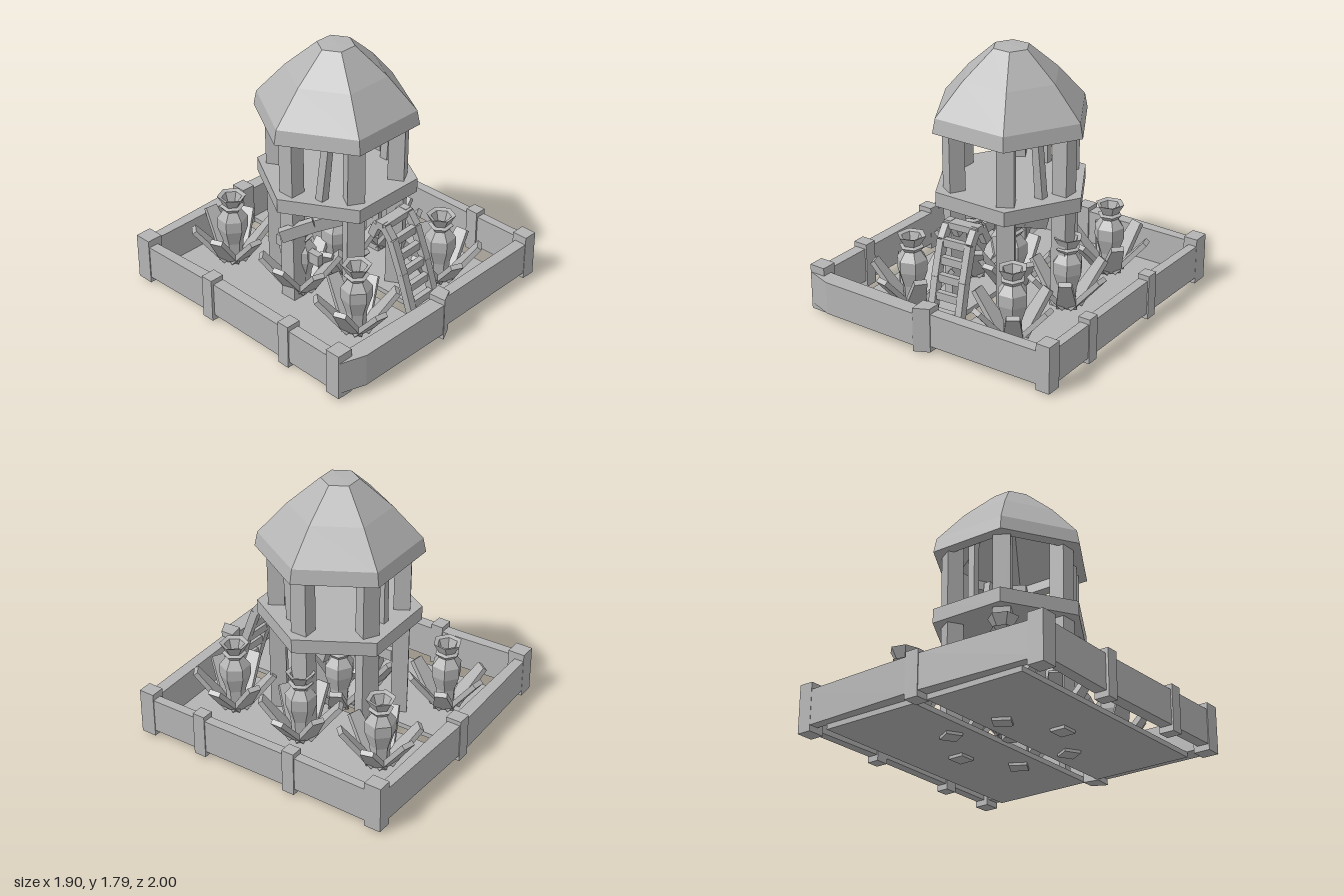
import * as THREE from 'three';

export function createModel() {
  const model = new THREE.Group();
  const stone = new THREE.MeshStandardMaterial({ color: 0xb4b4b4 });
  stone.name = 'plain grey';
  stone.flatShading = true;
  const V = (x, y, z) => new THREE.Vector3(x, y, z);

  function add(name, geo, parent = model) {
    const mesh = new THREE.Mesh(geo, stone);
    mesh.name = name;
    parent.add(mesh);
    return mesh;
  }

  // Upright slab from a plan outline of [x, z] corners
  function slab(name, plan, y0, y1, parent) {
    const shape = new THREE.Shape(plan.map(([x, z]) => new THREE.Vector2(x, -z)));
    const geo = new THREE.ExtrudeGeometry(shape, { depth: y1 - y0, bevelEnabled: false });
    geo.rotateX(-Math.PI / 2).translate(0, y0, 0);
    return add(name, geo, parent);
  }

  function block(name, x0, x1, y0, y1, z0, z1, parent) {
    const geo = new THREE.BoxGeometry(x1 - x0, y1 - y0, z1 - z0);
    geo.translate((x0 + x1) / 2, (y0 + y1) / 2, (z0 + z1) / 2);
    return add(name, geo, parent);
  }

  // Straight bar from a to b, w wide (tapering to w2) and t thick
  function bar(name, a, b, w, t, w2 = w, parent = model, side = null) {
    const geo = new THREE.BoxGeometry(1, a.distanceTo(b), t);
    const p = geo.attributes.position;
    for (let i = 0; i < p.count; i++) p.setX(i, p.getX(i) * (p.getY(i) > 0 ? w2 : w));
    const dir = b.clone().sub(a).normalize();
    const x = side ? side.clone() : V(0, 1, 0).cross(dir);
    x.addScaledVector(dir, -x.dot(dir)).normalize();
    geo.applyMatrix4(new THREE.Matrix4().makeBasis(x, dir, x.clone().cross(dir)));
    geo.translate((a.x + b.x) / 2, (a.y + b.y) / 2, (a.z + b.z) / 2);
    return add(name, geo, parent);
  }

  // Six-sided turned part with corners on the x axis
  function hexLathe(name, profile, parent) {
    const pts = profile.map(([r, y]) => new THREE.Vector2(r, y));
    return add(name, new THREE.LatheGeometry(pts, 6, Math.PI / 6), parent);
  }

  // Floor boards with a gap between them
  block('floorBoardRight', -0.77, -0.06, 0.035, 0.07, -0.91, 0.87);
  block('floorBoardLeft', 0.04, 0.75, 0.035, 0.07, -0.91, 0.87);

  // Low bent walls
  slab('frontWall', [[-0.95, 0.86], [-0.07, 0.88], [0.04, 0.86], [0.9, 0.84],
    [0.93, 0.925], [0.04, 0.94], [-0.06, 0.99], [-0.78, 0.99], [-0.96, 0.93]], 0.07, 0.3);
  slab('backWall', [[-0.95, -0.9], [-0.95, -0.965], [-0.06, -0.995], [0.04, -0.995],
    [0.93, -0.965], [0.93, -0.9]], 0.07, 0.31);
  slab('rightWall', [[-0.96, 0.9], [-0.88, 0.9], [-0.86, -0.27], [-0.89, -0.93],
    [-0.96, -0.93], [-0.945, -0.27]], 0.07, 0.31);
  slab('leftWall', [[0.935, 0.9], [0.93, -0.27], [0.94, -0.93], [0.88, -0.93],
    [0.86, -0.27], [0.87, 0.9]], 0.07, 0.31);

  // Corner blocks and wall posts
  for (const [x, xo] of [[-0.965, 0.115], [0.84, 0.1]]) {
    block('cornerFront', x, x + xo, 0.03, 0.355, 0.82, 0.93);
    block('cornerBack', x, x + xo, 0.03, 0.36, -0.97, -0.85);
  }
  slab('frontPost', [[-0.07, 0.87], [0.04, 0.85], [0.04, 0.945], [-0.06, 0.995]], 0.03, 0.34);
  block('backPost', -0.06, 0.04, 0.03, 0.34, -1, -0.89);
  for (const z of [-0.27, 0.44]) {
    block('sidePostRight', -0.965, -0.86, 0.03, 0.345, z - 0.045, z + 0.045);
    block('sidePostLeft', 0.855, 0.94, 0.03, 0.345, z - 0.045, z + 0.045);
  }

  // Tower: six pillars, platform, thin posts and hollow roof
  const tower = new THREE.Group();
  tower.name = 'tower';
  tower.position.set(-0.01, 0, -0.02);
  model.add(tower);
  for (let i = 0; i < 6; i++) {
    const a = i * Math.PI / 3, c = Math.cos(a), s = Math.sin(a);
    bar('pillar', V(c * 0.405, 0.015, s * 0.405), V(c * 0.415, 1.33, s * 0.415),
      0.12, 0.11, 0.115, tower, V(-s, 0, c));
  }
  hexLathe('platform', [[0, 0.78], [0.545, 0.78], [0.545, 0.88], [0, 0.88]], tower);
  bar('thinPost', V(0.03, 0.87, -0.36), V(0.03, 1.33, -0.36), 0.05, 0.05, 0.05, tower, V(1, 0, 0));
  bar('thinPost', V(-0.34, 0.87, 0.2), V(-0.32, 1.33, 0.24), 0.06, 0.06, 0.05, tower, V(1, 0, 0));
  bar('thinPost', V(0.33, 0.87, 0.14), V(0.32, 1.33, 0.18), 0.06, 0.06, 0.05, tower, V(1, 0, 0));
  const roof = hexLathe('roof', [[0, 1.72], [0.1, 1.72], [0.47, 1.36], [0.46, 1.29], [0.555, 1.29],
    [0.535, 1.39], [0.34, 1.61], [0.125, 1.8], [0, 1.805]], tower);
  roof.position.x = -0.005;

  // Sloping braces under the platform
  const braces = [
    [V(-0.14, 0.71, 0.28), V(-0.36, 0.66, 0.12), V(-0.53, 0.59, -0.02)],
    [V(0.1, 0.72, 0.28), V(0.17, 0.67, 0.1), V(0.22, 0.6, -0.08)],
  ];
  for (const path of braces)
    for (let i = 0; i < 2; i++) bar('brace', path[i], path[i + 1], 0.05, 0.09);
  block('lowRail', -0.36, -0.31, 0.34, 0.42, -0.24, 0.15);

  // Ladder hooked over at the top
  const ladder = new THREE.Group();
  ladder.name = 'ladder';
  ladder.position.set(-0.01, 0, 0);
  ladder.rotation.z = 0.05;
  model.add(ladder);
  const climb = [[0.07, 0.77], [0.42, 0.67], [0.65, 0.59], [0.73, 0.53], [0.73, 0.47], [0.62, 0.42]];
  for (const x of [-0.08, 0.14])
    for (let i = 0; i < climb.length - 1; i++)
      bar('ladderRail', V(x, ...climb[i]), V(x, ...climb[i + 1]), 0.05, 0.055, 0.05, ladder, V(1, 0, 0));
  for (let i = 0; i < 5; i++) {
    const y = 0.17 + i * 0.11;
    block('rung', -0.07, 0.13, y, y + 0.055, 0.715 - i * 0.035, 0.755 - i * 0.035, ladder);
  }
  block('topRung', -0.1, 0.16, 0.71, 0.755, 0.47, 0.55, ladder);

  // Plants: a faceted urn-shaped bulb in a ring of stiff leaves
  const plants = [[-0.41, -0.62, 0.4], [0.39, -0.61, 0.25], [-0.41, 0.55, 0.35], [0.4, 0.55, 0.1],
    [0.44, -0.02, 0], [-0.34, -0.03, 0.2], [-0.01, -0.02, 0.5]];
  for (const [x, z, turn] of plants) {
    const plant = new THREE.Group();
    plant.name = 'plant';
    plant.position.set(x, 0, z);
    plant.rotation.y = turn;
    model.add(plant);
    hexLathe('bulb', [[0, 0.06], [0.06, 0.06], [0.07, 0.22], [0.105, 0.33], [0.105, 0.41],
      [0.06, 0.47], [0.085, 0.5], [0.06, 0.51], [0.1, 0.58], [0.07, 0.57], [0.045, 0.5], [0, 0.5]], plant);
    for (let i = 0; i < 6; i++) {
      const a = i * Math.PI / 3, c = Math.cos(a), s = Math.sin(a), tip = 0.33 + 0.03 * (i % 2);
      bar('leaf', V(c * 0.06, 0.09, s * 0.06), V(c * 0.265, tip, s * 0.265), 0.14, 0.035, 0.085, plant);
    }
  }
  return model;
}
